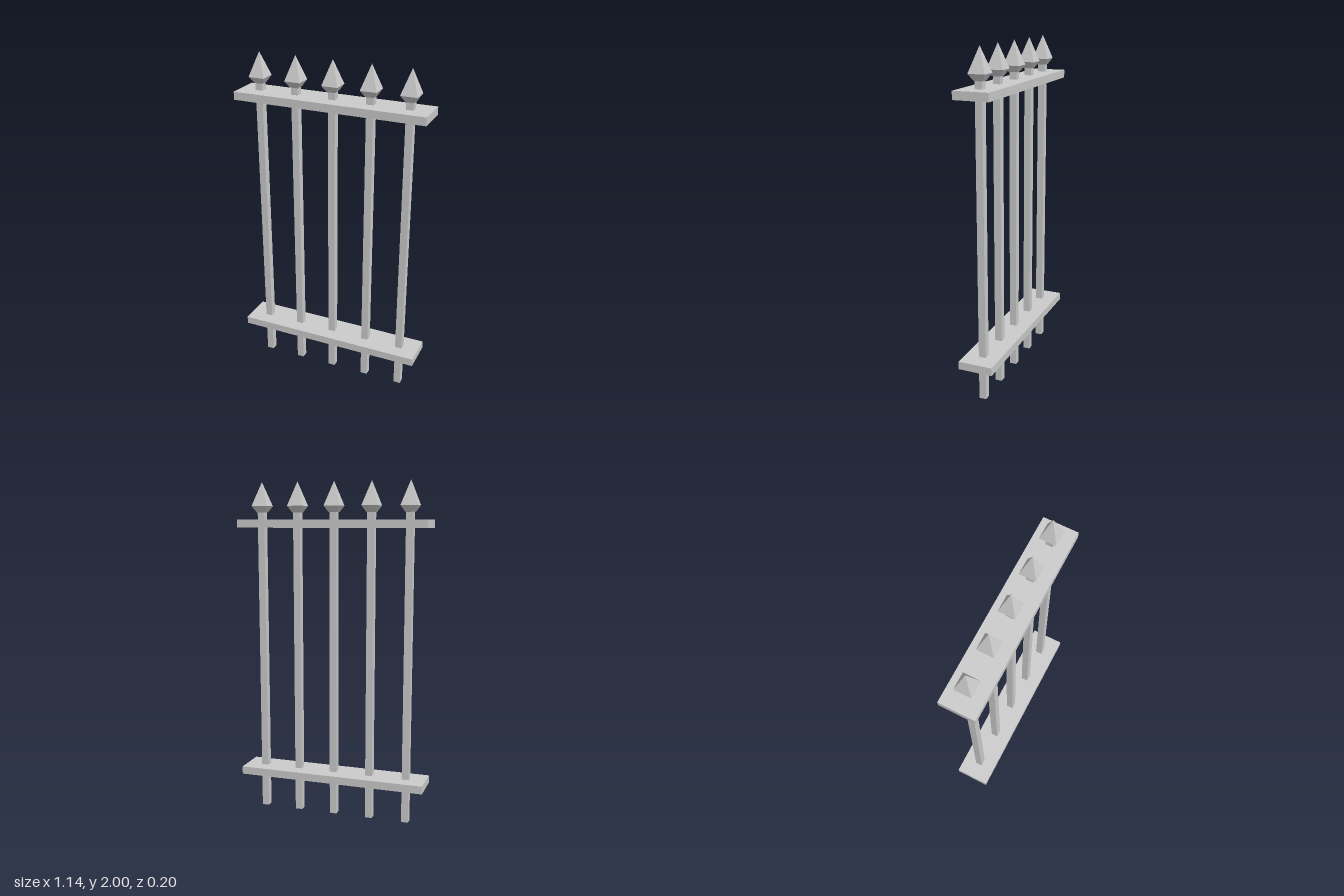
import * as THREE from 'three';

const material = new THREE.MeshStandardMaterial({ color: 0xcccccc, flatShading: true });

function addPart(parent, name, geometry, x, y) {
  const mesh = new THREE.Mesh(geometry, material);
  mesh.name = name;
  mesh.position.set(x, y, 0);
  parent.add(mesh);
}

// Four-sided spear head; profile given as [half width, height]
function spearGeometry() {
  const profile = [[0, 1.823], [0.025, 1.823], [0.048, 1.86], [0, 2]];
  const points = profile.map(([half, y]) => new THREE.Vector2(half * Math.SQRT2, y));
  return new THREE.LatheGeometry(points, 4, Math.PI / 4);
}

export function createModel() {
  const fence = new THREE.Group();
  fence.name = 'fencePanel';

  // Wide flat rails
  const rail = new THREE.BoxGeometry(1.136, 0.047, 0.204);
  addPart(fence, 'lowerRail', rail, 0, 0.242);
  addPart(fence, 'upperRail', rail, 0, 1.758);

  // Square pickets topped with spear heads
  const barHeight = 1.83;
  const bar = new THREE.BoxGeometry(0.042, barHeight, 0.042);
  const spear = spearGeometry();
  for (let i = -2; i <= 2; i++) {
    const picket = new THREE.Group();
    picket.name = 'picket';
    picket.position.x = i * 0.225;
    addPart(picket, 'bar', bar, 0, barHeight / 2);
    addPart(picket, 'spearHead', spear, 0, 0);
    fence.add(picket);
  }
  return fence;
}
